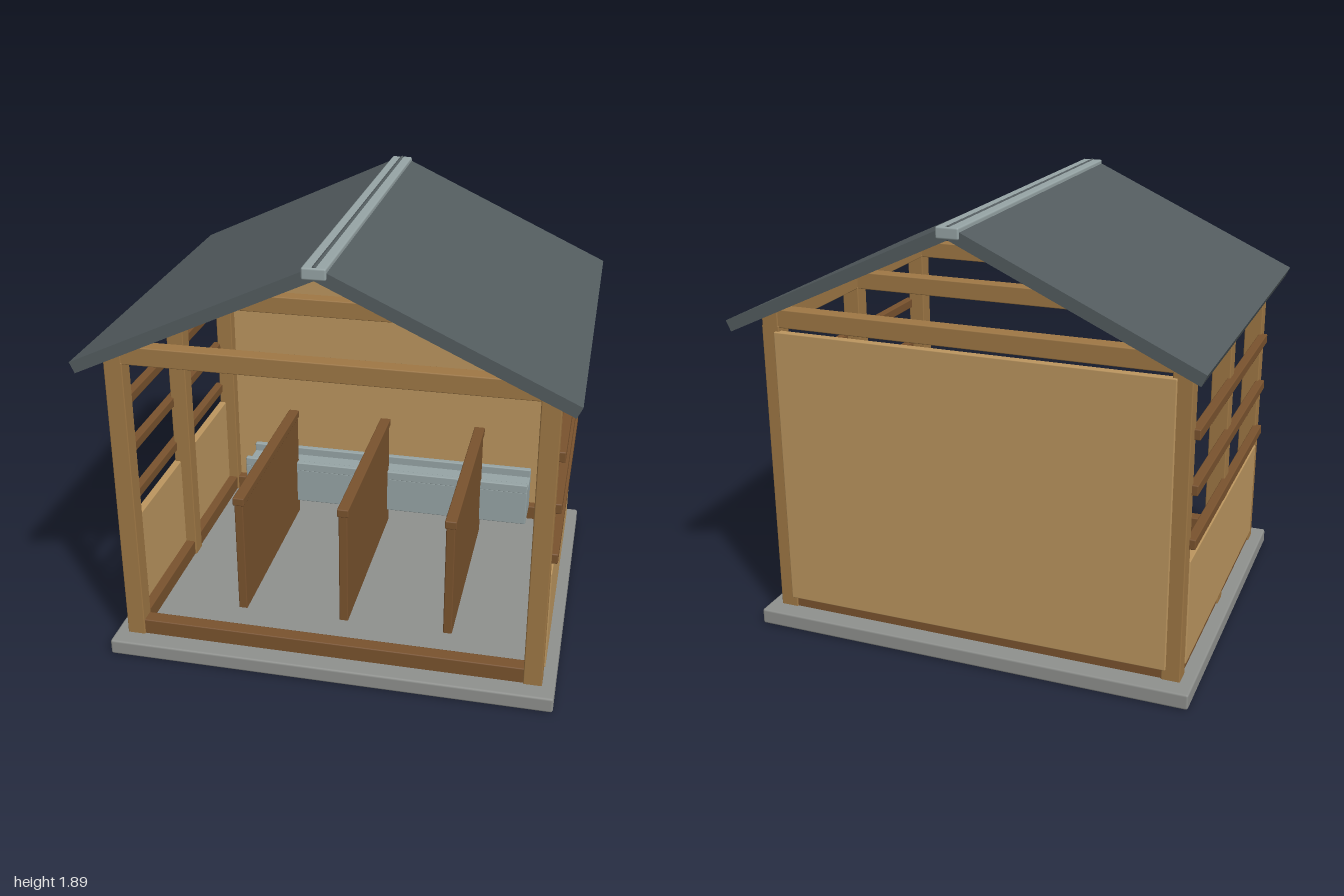
import * as THREE from 'three';
import { RoundedBoxGeometry } from 'three/addons/geometries/RoundedBoxGeometry.js';

const mat = (color) => new THREE.MeshStandardMaterial({ color });

export function createModel() {
  const model = new THREE.Group();
  const timber = mat(0x9f7845), board = mat(0xbc965f), darkWood = mat(0x7a532e);
  const stone = mat(0x8f918e), metal = mat(0x97a5a6), slate = mat(0x535c5f);

  // Box given by its extents on each axis, with slightly eased edges
  function block(name, material, [x0, x1], [y0, y1], [z0, z1], ease = 0.005) {
    const w = x1 - x0, h = y1 - y0, d = z1 - z0;
    const mesh = new THREE.Mesh(new RoundedBoxGeometry(w, h, d, 1, ease), material);
    mesh.position.set((x0 + x1) / 2, (y0 + y1) / 2, (z0 + z1) / 2);
    mesh.name = name;
    model.add(mesh);
    return mesh;
  }
  const around = (c, size) => [c - size / 2, c + size / 2];

  // Base slab
  block('baseSlab', stone, [-0.975, 0.975], [0, 0.07], [-0.81, 0.81], 0.01);

  // Side walls: posts, sill, top plate, lower boarding and open rails
  for (const s of [-1, 1]) {
    for (const z of [-0.69, 0, 0.69]) {
      block('post', timber, around(s * 0.88, 0.08), [0.065, 1.38], around(z, 0.08));
    }
    block('sideSill', darkWood, around(s * 0.88, 0.065), [0.065, 0.14], [-0.66, 0.66]);
    block('topPlate', timber, around(s * 0.88, 0.075), [1.37, 1.45], [-0.73, 0.73]);
    block('sideBoarding', board, around(s * 0.908, 0.035), [0.115, 0.58], [-0.66, 0.66]);
    for (const y of [0.66, 0.89, 1.12]) {
      block('sideRail', darkWood, around(s * 0.925, 0.04), around(y, 0.045), [-0.675, 0.675]);
    }
  }

  // Front and back sills, tie beams across the frame
  for (const z of [-0.69, 0.69]) {
    block('endSill', darkWood, [-0.85, 0.85], [0.065, 0.14], around(z, 0.065));
  }
  for (const z of [-0.69, 0, 0.69]) {
    block('tieBeam', timber, [-0.88, 0.88], [1.37, 1.45], around(z, 0.07));
  }

  // Back wall
  block('backBoarding', board, [-0.86, 0.86], [0.115, 1.355], [-0.74, -0.705]);

  // Stall partitions with capping rails
  for (const x of [-0.475, 0, 0.475]) {
    block('partition', darkWood, around(x, 0.04), [0.065, 0.612], [-0.5, 0.44]);
    block('partitionCap', darkWood, around(x, 0.052), [0.607, 0.645], [-0.505, 0.445]);
  }

  // Feed trough along the back wall
  block('troughBody', metal, [-0.73, 0.73], [0.145, 0.325], [-0.66, -0.46]);
  for (const z of [-0.645, -0.475]) {
    block('troughLip', metal, [-0.73, 0.73], [0.32, 0.365], around(z, 0.03));
  }

  // Pitched roof slabs, placed by their upper edge from eave to ridge
  const eave = new THREE.Vector2(1.0, 1.425), ridge = new THREE.Vector2(0, 1.889);
  const thick = 0.05, pitch = Math.atan2(ridge.y - eave.y, eave.x);
  for (const s of [-1, 1]) {
    const slab = new THREE.Mesh(new THREE.BoxGeometry(eave.distanceTo(ridge), thick, 1.73), slate);
    slab.position.set(
      s * (eave.x / 2 - Math.sin(pitch) * thick / 2),
      (eave.y + ridge.y) / 2 - Math.cos(pitch) * thick / 2, 0);
    slab.rotation.z = -s * pitch;
    slab.name = 'roofSlope';
    model.add(slab);
  }
  block('ridgeCap', metal, [-0.048, 0.048], [1.837, 1.885], [-0.873, 0.873], 0.008);

  return model;
}
